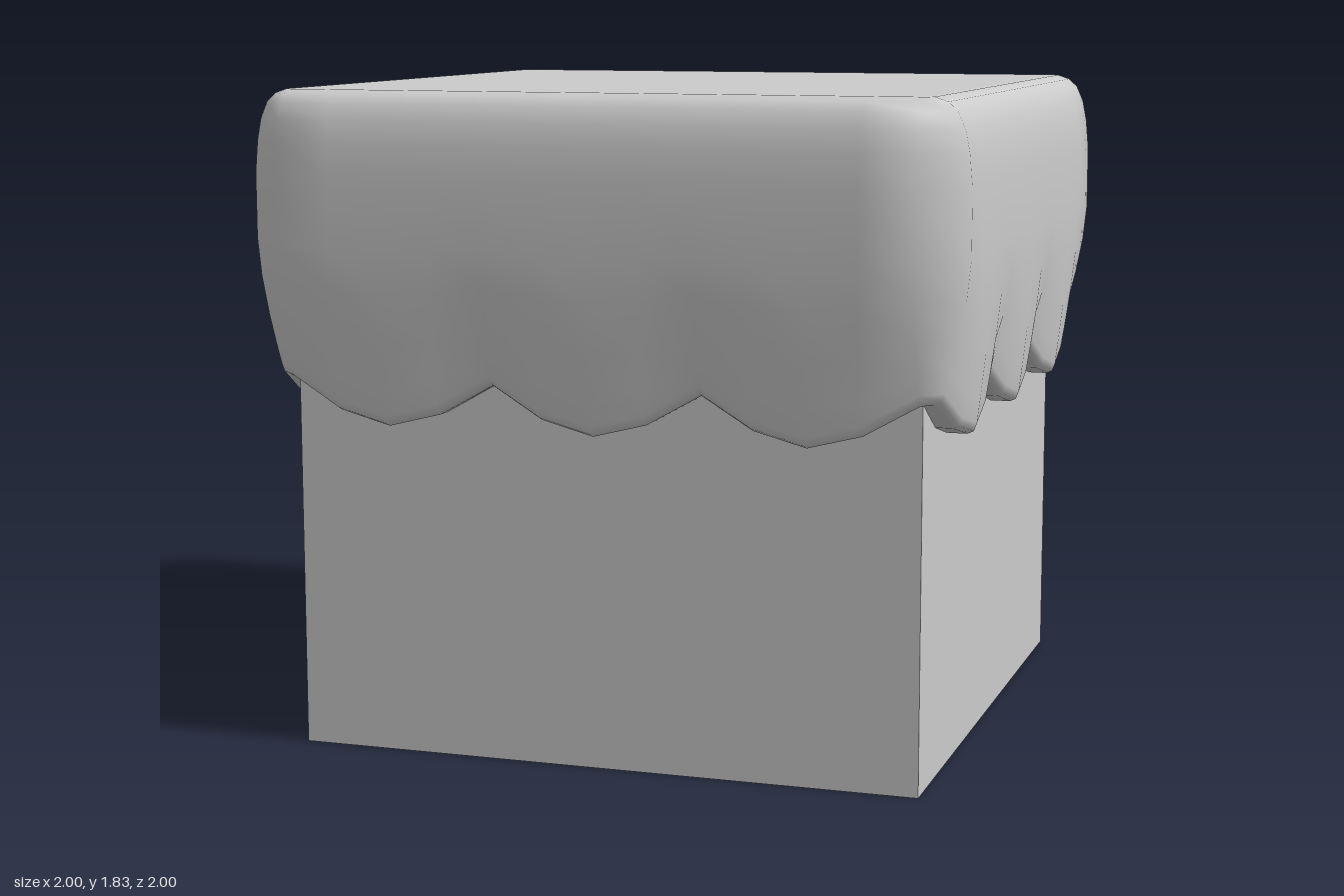
import * as THREE from 'three';

const HALF = 0.88;       // half width of the block
const SCALLOPS = 3;      // drips per side
const STEPS = 4;         // segments per drip
const material = new THREE.MeshStandardMaterial({ color: 0xcccccc });

// Profile of the topping for one column: [outward offset, height] from top to lip.
// drip runs from 0 at a cusp to 1 at the lowest point of a scallop.
function profile(drip) {
  const lipY = 1.045 - 0.12 * drip;
  const lip = 0.055 + 0.025 * drip;
  const points = [
    [0.02, 1.83], [0.055, 1.818], [0.08, 1.795], [0.1, 1.75],
    [0.112, 1.69], [0.12, 1.6], [0.12, 1.42],
  ];
  // Sides draw in towards the lip
  for (const t of [0.3, 0.6, 0.85, 1]) {
    points.push([0.12 - (0.12 - lip) * t ** 1.5, 1.42 + (lipY + 0.03 - 1.42) * t]);
  }
  // Rounded lip, returning to the block
  points.push([lip - 0.008, lipY + 0.008], [lip - 0.025, lipY], [0, lipY]);
  return points;
}

function toppingGeometry() {
  // Columns around the four sides; neighbouring sides meet in a chamfer
  const columns = [];
  const n = SCALLOPS * STEPS;
  for (let side = 0; side < 4; side++) {
    for (let i = 0; i <= n; i++) {
      const u = -HALF + (2 * HALF * i) / n;
      const s = ((i % STEPS) / STEPS) * 2 - 1;
      const drip = 1 - Math.abs(s) ** 1.7;
      const column = profile(drip).map(([o, y]) => {
        let x = u, z = HALF + o;
        for (let k = 0; k < side; k++) [x, z] = [z, -x];
        return [x, y, z];
      });
      const [x, y, z] = column[0];
      column.unshift([x * 0.97, y, z * 0.97]); // inset ring keeps the top flat
      columns.push(column);
    }
  }

  const rows = columns[0].length;
  const count = columns.length;
  const positions = columns.flat(2);
  const center = count * rows;
  positions.push(0, 1.83, 0);

  const index = [];
  for (let j = 0; j < count; j++) {
    const a = j * rows, b = ((j + 1) % count) * rows;
    index.push(center, a, b);
    for (let i = 0; i < rows - 1; i++) {
      index.push(a + i, a + i + 1, b + i + 1, a + i, b + i + 1, b + i);
    }
  }

  const geometry = new THREE.BufferGeometry();
  geometry.setAttribute('position', new THREE.Float32BufferAttribute(positions, 3));
  geometry.setIndex(index);
  geometry.computeVertexNormals();
  return geometry;
}

export function createModel() {
  const group = new THREE.Group();
  group.name = 'toppedBlock';

  // Plain cube
  const block = new THREE.Mesh(new THREE.BoxGeometry(2 * HALF, 2 * HALF, 2 * HALF), material);
  block.position.y = HALF;
  block.name = 'block';

  // Soft covering with a scalloped lower edge
  const topping = new THREE.Mesh(toppingGeometry(), material);
  topping.name = 'topping';

  group.add(block, topping);
  return group;
}
